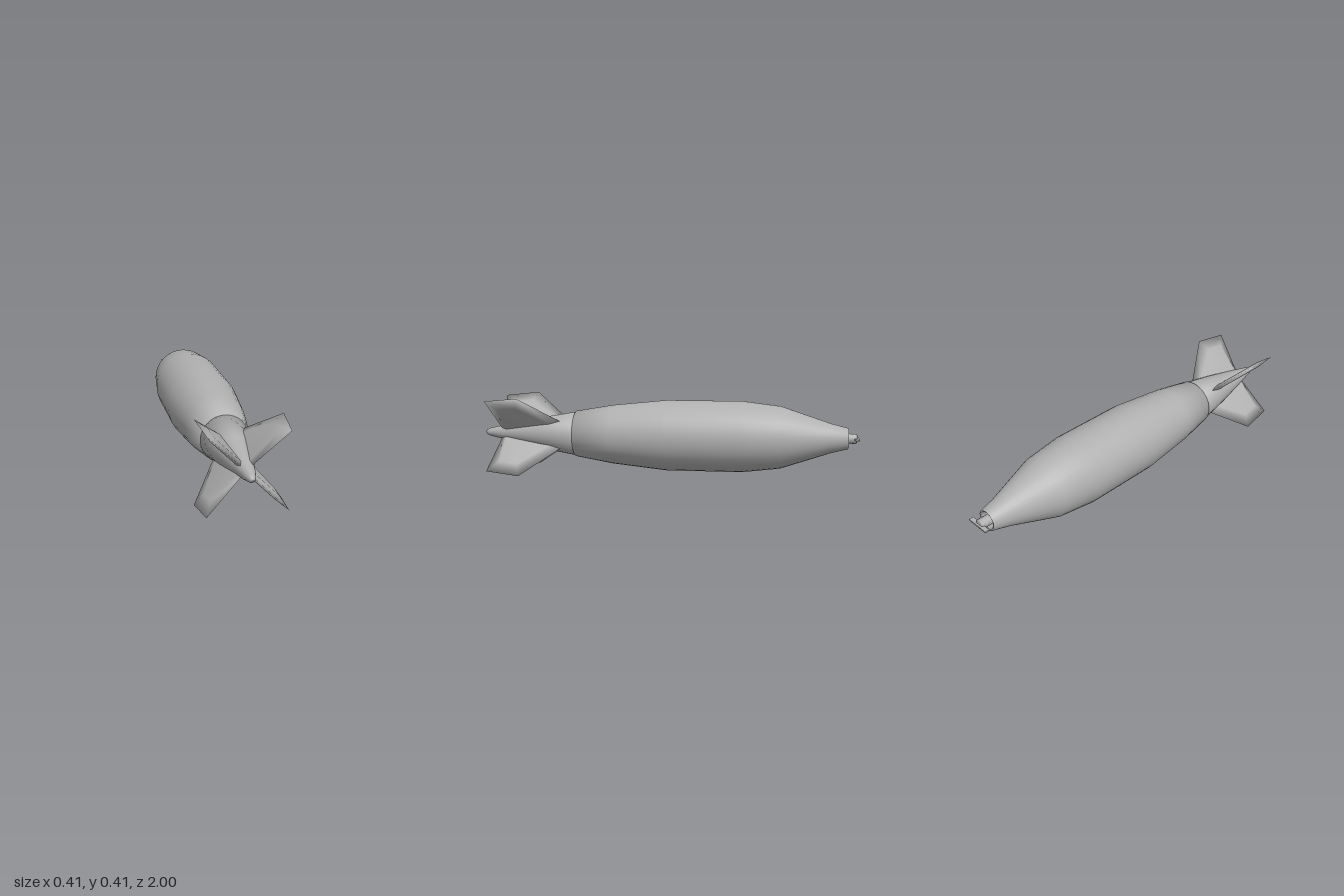
import * as THREE from 'three';

const AXIS_Y = 0.204;
const metal = new THREE.MeshStandardMaterial({ color: 0xb0b0b0 });
metal.name = 'grey metal';

// Turn a [z, radius] profile around the long axis
function turned(name, profile, segments = 32) {
  const points = profile.map(([z, r]) => new THREE.Vector2(r, z));
  const geometry = new THREE.LatheGeometry(points, segments);
  geometry.rotateX(Math.PI / 2);
  const mesh = new THREE.Mesh(geometry, metal);
  mesh.name = name;
  return mesh;
}

// Sharp-edged fin with a thicker raised panel on both faces, in [radius, z]
function finGeometry() {
  const outline = [[0.03, 0.9], [0.262, 0.94], [0.288, 0.76], [0.09, 0.55]];
  const panel = [[0.03, 0.875], [0.205, 0.88], [0.22, 0.78], [0.08, 0.61]];
  const half = 0.013;
  const positions = [];
  outline.forEach(([r, z]) => positions.push(r, 0, z));
  panel.forEach(([r, z]) => positions.push(r, half, z));
  panel.forEach(([r, z]) => positions.push(r, -half, z));
  const index = [4, 5, 6, 4, 6, 7, 8, 10, 9, 8, 11, 10];
  for (let i = 0; i < 4; i++) {
    const j = (i + 1) % 4;
    index.push(i, j, 4 + j, i, 4 + j, 4 + i);
    index.push(i, 8 + j, j, i, 8 + i, 8 + j);
  }
  const geometry = new THREE.BufferGeometry();
  geometry.setAttribute('position', new THREE.Float32BufferAttribute(positions, 3));
  geometry.setIndex(index);
  geometry.computeVertexNormals();
  return geometry;
}

export function createModel() {
  const model = new THREE.Group();
  model.name = 'finnedBody';
  const assembly = new THREE.Group();
  assembly.name = 'assembly';
  assembly.position.y = AXIS_Y;
  model.add(assembly);

  // Main casing with a hollow nose socket
  assembly.add(turned('casing', [
    [-0.9, 0], [-0.9, 0.037], [-0.94, 0.042], [-0.945, 0.055], [-0.86, 0.076],
    [-0.6, 0.163], [-0.4, 0.187], [0, 0.187], [0.29, 0.157], [0.49, 0.123], [0.49, 0],
  ]));

  // Tail cone
  assembly.add(turned('tailCone', [
    [0.485, 0], [0.485, 0.119], [0.68, 0.085], [0.92, 0.034], [0.98, 0.02], [0.996, 0.01], [1, 0],
  ]));

  // Four diagonal fins
  const finShape = finGeometry();
  for (let i = 0; i < 4; i++) {
    const fin = new THREE.Mesh(finShape, metal);
    fin.name = 'fin' + (i + 1);
    fin.rotation.z = Math.PI / 4 + i * Math.PI / 2;
    assembly.add(fin);
  }

  // Nose hub and its small two-bladed vane
  assembly.add(turned('noseHub', [
    [-0.99, 0], [-0.99, 0.022], [-0.985, 0.026], [-0.895, 0.026],
  ], 16));
  const vane = new THREE.Mesh(new THREE.BoxGeometry(0.125, 0.007, 0.024), metal);
  vane.name = 'noseVane';
  vane.position.z = -0.988;
  assembly.add(vane);

  return model;
}
